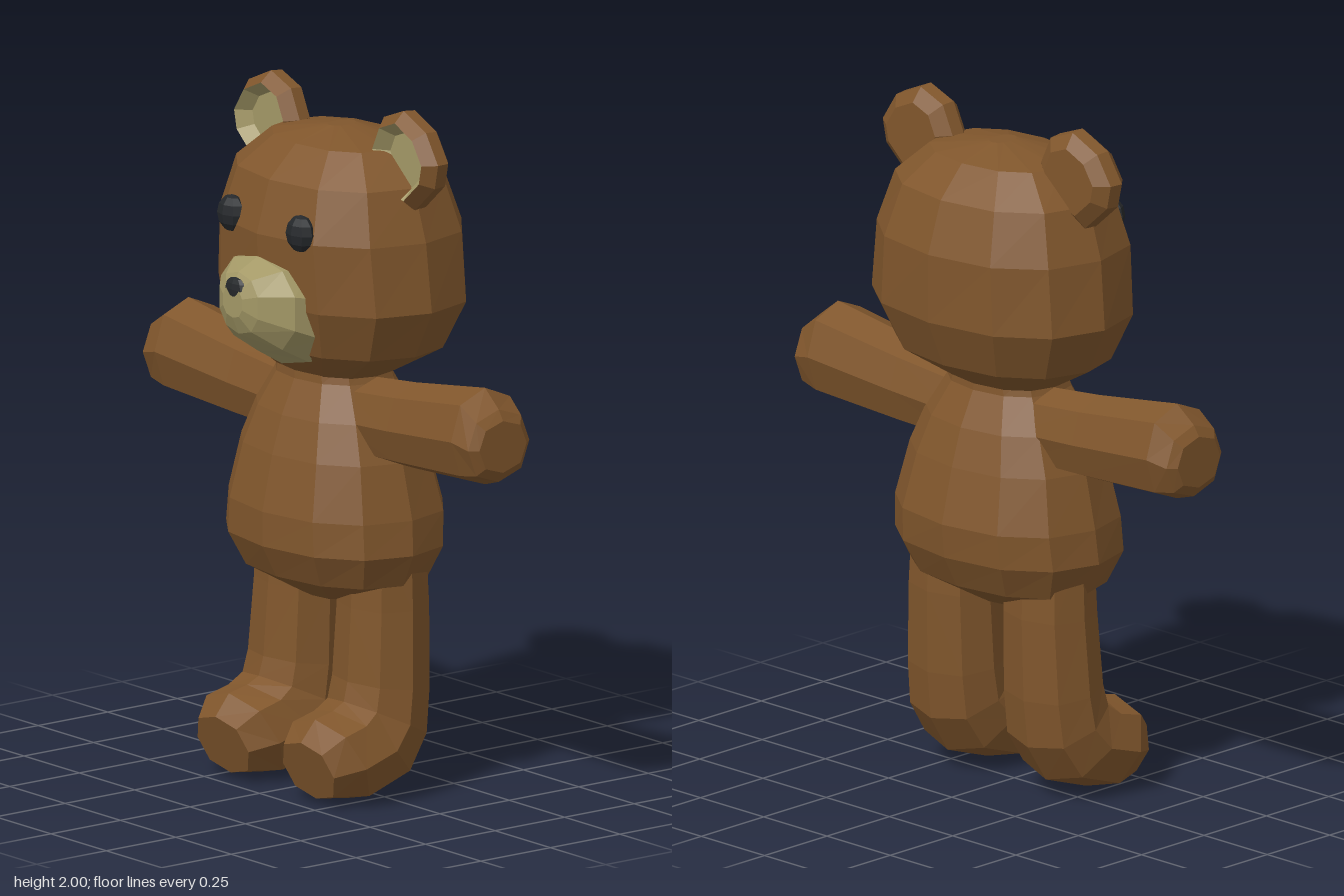
import * as THREE from 'three';

const material = (color) => new THREE.MeshStandardMaterial({ color, flatShading: true, side: THREE.DoubleSide });
const brown = material(0x80562c);
const cream = material(0xa39866);
const dark = material(0x25282b);

// Soft-cornered ellipse: n pairs [u, v] in -1..1
function oval(n, power = 0.88) {
  return Array.from({ length: n }, (_, i) => {
    const a = (i / n) * Math.PI * 2;
    const soft = (c) => Math.sign(c) * Math.pow(Math.abs(c), power);
    return [soft(Math.sin(a)), soft(Math.cos(a))];
  });
}

// Skin over a list of equal-length rings of Vector3, with centre-fan caps
function loft(name, mat, rings, { capStart = true, capEnd = true } = {}) {
  const tris = [];
  const n = rings[0].length;
  for (let r = 0; r + 1 < rings.length; r++) {
    for (let i = 0; i < n; i++) {
      const j = (i + 1) % n;
      const a = rings[r][i], b = rings[r][j], c = rings[r + 1][j], d = rings[r + 1][i];
      tris.push([a, b, c], [a, c, d]);
    }
  }
  const cap = (ring, flip) => {
    const mid = ring.reduce((s, p) => s.add(p), new THREE.Vector3()).divideScalar(n);
    ring.forEach((p, i) => {
      const q = ring[(i + 1) % n];
      tris.push(flip ? [mid, q, p] : [mid, p, q]);
    });
  };
  if (capStart) cap(rings[0], true);
  if (capEnd) cap(rings[rings.length - 1], false);

  // Turn the skin outwards by the sign of its volume about its own centre
  const all = rings.flat();
  const o = all.reduce((s, p) => s.add(p), new THREE.Vector3()).divideScalar(all.length);
  let volume = 0;
  for (const t of tris) {
    const [a, b, c] = t.map((p) => p.clone().sub(o));
    volume += a.dot(b.cross(c));
  }
  const points = tris.flatMap((t) => (volume < 0 ? [t[0], t[2], t[1]] : t));
  const geometry = new THREE.BufferGeometry().setFromPoints(points);
  geometry.computeVertexNormals();
  const mesh = new THREE.Mesh(geometry, mat);
  mesh.name = name;
  return mesh;
}

// Level rings [y, half width, front z, back z]
const levelRings = (rows, n) => rows.map(([y, w, f, b]) =>
  oval(n).map(([u, v]) => new THREE.Vector3(u * w, y, (f + b) / 2 + (v * (f - b)) / 2)));

// Upright rings facing z: [z, half width, top y, bottom y]
const facingRings = (rows, n) => rows.map(([z, w, t, b]) =>
  oval(n).map(([u, v]) => new THREE.Vector3(u * w, (t + b) / 2 + (v * (t - b)) / 2, z)));

function createEar(side) {
  const outline = [[0.30, 2.0], [0.40, 1.955], [0.455, 1.87], [0.44, 1.80],
    [0.35, 1.72], [0.23, 1.76], [0.17, 1.88], [0.21, 1.965]];
  const ring = (z, s) => outline.map(([x, y]) =>
    new THREE.Vector3(side * (0.31 + (x - 0.31) * s), 1.86 + (y - 1.86) * s, z));
  const ear = new THREE.Group();
  ear.name = side > 0 ? 'leftEar' : 'rightEar';
  ear.add(loft('earShell', brown, [ring(-0.1, 0.68), ring(-0.07, 0.97), ring(-0.03, 1), ring(0.005, 0.78)], { capEnd: false }));
  // Shallow cream hollow
  ear.add(loft('innerEar', cream, [ring(-0.035, 0.55), ring(0.005, 0.78)], { capEnd: false }));
  return ear;
}

function createArm(side) {
  // [x, top y, bottom y, front z, back z]
  const rows = [
    [0.12, 1.20, 0.97, 0.08, -0.13],
    [0.36, 1.225, 0.975, 0.082, -0.135],
    [0.67, 1.27, 0.99, 0.095, -0.15],
    [0.735, 1.22, 1.01, 0.085, -0.135],
    [0.755, 1.19, 1.04, 0.06, -0.11],
  ];
  const rings = rows.map(([x, t, b, f, k]) => oval(8, 0.9).map(([u, v]) =>
    new THREE.Vector3(side * x, (t + b) / 2 + (v * (t - b)) / 2, (f + k) / 2 + (u * (f - k)) / 2)));
  return loft(side > 0 ? 'leftArm' : 'rightArm', brown, rings);
}

function createLeg(side) {
  // Rings bending into the foot: [centre x, half width, front z, front y, back z, back y]
  const rows = [
    [0.185, 0.13, 0.06, 0.76, -0.15, 0.76],
    [0.187, 0.136, 0.07, 0.55, -0.16, 0.55],
    [0.19, 0.145, 0.085, 0.34, -0.155, 0.31],
    [0.192, 0.15, 0.10, 0.285, -0.14, 0.17],
    [0.194, 0.158, 0.14, 0.265, -0.07, 0.06],
    [0.195, 0.16, 0.205, 0.25, 0.09, 0.005],
    [0.193, 0.115, 0.255, 0.19, 0.2, 0.02],
  ];
  const rings = rows.map(([x, w, fz, fy, bz, by]) => oval(8, 0.85).map(([u, v]) =>
    new THREE.Vector3(side * (x + u * w), (fy + by) / 2 + (v * (fy - by)) / 2, (fz + bz) / 2 + (v * (fz - bz)) / 2)));
  return loft(side > 0 ? 'leftLeg' : 'rightLeg', brown, rings);
}

function createBead(name, x, y, z, sx, sy, sz) {
  const bead = new THREE.Mesh(new THREE.SphereGeometry(1, 8, 6), dark);
  bead.name = name;
  bead.position.set(x, y, z);
  bead.scale.set(sx, sy, sz);
  return bead;
}

export function createModel() {
  const bear = new THREE.Group();
  bear.name = 'teddyBear';

  // Round head, flatter towards the crown
  bear.add(loft('head', brown, levelRings([
    [1.20, 0.17, 0.11, -0.15],
    [1.29, 0.335, 0.2, -0.285],
    [1.43, 0.405, 0.25, -0.345],
    [1.63, 0.385, 0.26, -0.345],
    [1.78, 0.335, 0.215, -0.295],
    [1.87, 0.23, 0.12, -0.21],
    [1.905, 0.03, 0, -0.09],
  ], 12)));

  // Pear-shaped body with a short neck
  bear.add(loft('body', brown, levelRings([
    [0.55, 0.11, 0.06, -0.1],
    [0.625, 0.31, 0.19, -0.23],
    [0.72, 0.355, 0.24, -0.28],
    [0.82, 0.345, 0.24, -0.29],
    [0.98, 0.305, 0.205, -0.25],
    [1.09, 0.255, 0.17, -0.215],
    [1.19, 0.19, 0.125, -0.165],
    [1.25, 0.17, 0.12, -0.16],
  ], 12)));

  // Muzzle and nose
  bear.add(loft('muzzle', cream, facingRings([
    [0.1, 0.19, 1.56, 1.235],
    [0.17, 0.195, 1.565, 1.24],
    [0.255, 0.175, 1.565, 1.29],
    [0.325, 0.09, 1.53, 1.35],
    [0.347, 0.045, 1.49, 1.4],
  ], 10)));
  bear.add(createBead('nose', 0, 1.482, 0.335, 0.047, 0.034, 0.016));

  // Paired parts
  for (const side of [1, -1]) {
    bear.add(createEar(side), createArm(side), createLeg(side));
    bear.add(createBead(side > 0 ? 'leftEye' : 'rightEye', side * 0.155, 1.655, 0.225, 0.052, 0.054, 0.036));
  }
  return bear;
}
